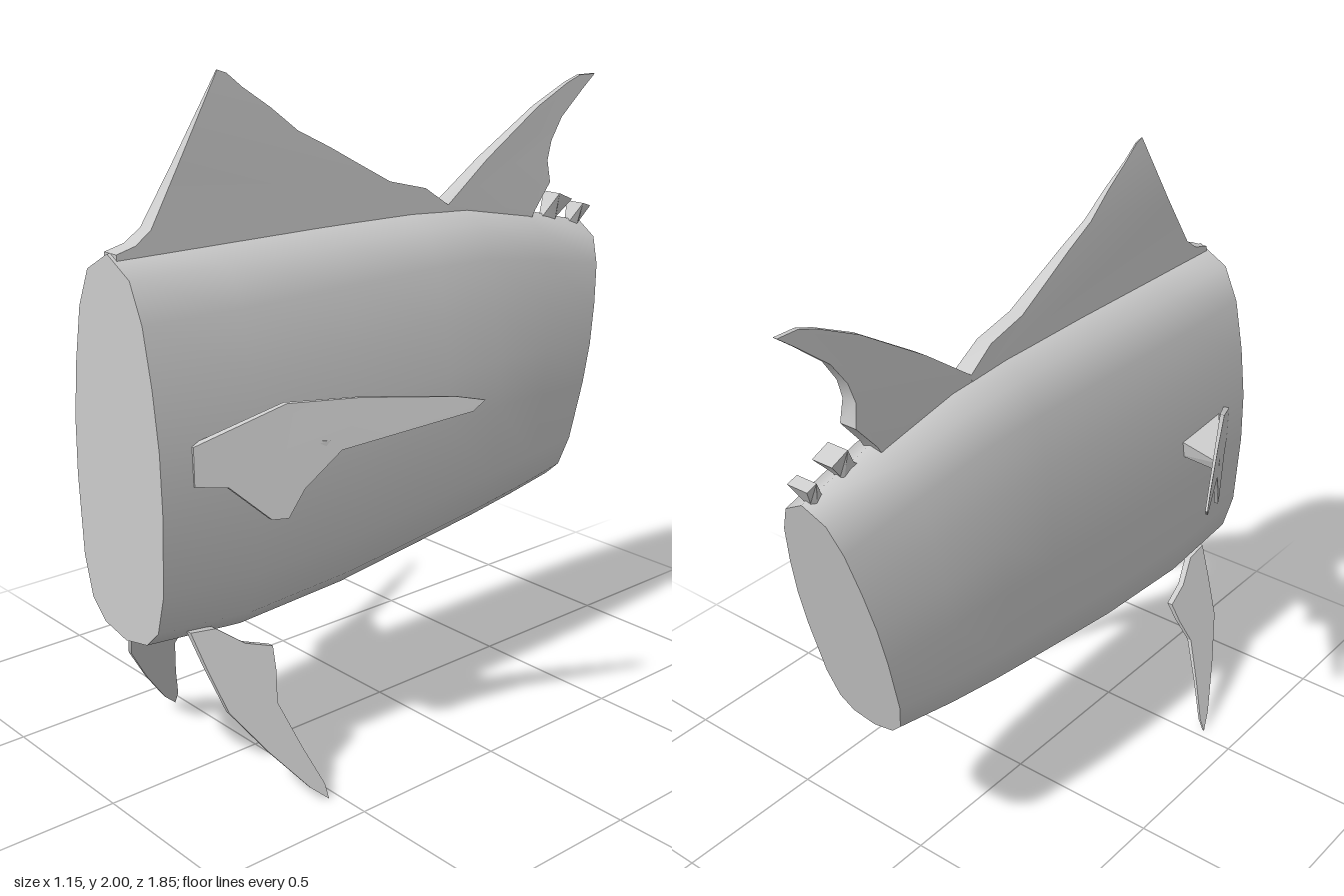
import * as THREE from 'three';
import { toCreasedNormals } from 'three/addons/utils/BufferGeometryUtils.js';
import { ConvexGeometry } from 'three/addons/geometries/ConvexGeometry.js';

const material = new THREE.MeshStandardMaterial({ color: 0xcccccc, side: THREE.DoubleSide });

function addMesh(parent, name, geometry) {
  const mesh = new THREE.Mesh(geometry, material);
  mesh.name = name;
  parent.add(mesh);
  return mesh;
}

// Half cross-section of the body: [height fraction, width fraction], belly to back
const PROFILE = [[0, 0], [0.02, 0.5], [0.07, 0.78], [0.18, 0.94], [0.4, 1],
  [0.55, 0.98], [0.7, 0.88], [0.85, 0.72], [0.95, 0.48], [1, 0]];

// Body stations, front to back: [z at belly, z at back, y belly, y back, half width]
const STATIONS = [
  [0.93, 0.93, 0.48, 1.56, 0.207], [0.62, 0.62, 0.45, 1.56, 0.21],
  [0.25, 0.25, 0.47, 1.56, 0.207], [-0.1, -0.1, 0.515, 1.555, 0.204],
  [-0.3, -0.33, 0.54, 1.54, 0.198], [-0.48, -0.6, 0.565, 1.49, 0.183],
  [-0.67, -0.88, 0.59, 1.42, 0.15]];

// Closed ring of points, counter-clockwise seen from the front
function ring([zb, zt, yb, yt, w]) {
  const point = ([t, k], side) => new THREE.Vector3(side * k * w,
    THREE.MathUtils.lerp(yb, yt, t), THREE.MathUtils.lerp(zb, zt, t));
  return [...PROFILE.map(p => point(p, 1)),
    ...PROFILE.slice(1, -1).reverse().map(p => point(p, -1))];
}

function bodyGeometry() {
  const points = STATIONS.flatMap(ring);
  const n = PROFILE.length * 2 - 2;
  const index = [];
  for (let s = 0; s < STATIONS.length - 1; s++) {
    for (let i = 0; i < n; i++) {
      const a = s * n + i, b = s * n + (i + 1) % n;
      index.push(a, a + n, b, b, a + n, b + n);
    }
  }
  const geometry = new THREE.BufferGeometry().setFromPoints(points);
  geometry.setIndex(index);
  geometry.computeVertexNormals();
  return geometry;
}

function capGeometry(station, facing) {
  const points = ring(station);
  const n = points.length;
  points.push(new THREE.Vector3(0, (station[2] + station[3]) / 2, (station[0] + station[1]) / 2));
  const index = [];
  for (let i = 0; i < n; i++) {
    const j = (i + 1) % n;
    index.push(n, facing > 0 ? i : j, facing > 0 ? j : i);
  }
  const geometry = new THREE.BufferGeometry().setFromPoints(points);
  geometry.setIndex(index);
  geometry.computeVertexNormals();
  return geometry;
}

// Thin fin from a [z, y] outline; offset(z, y) places it in x, thickness(z, y) tapers it
function finGeometry(outline, thickness, offset = () => 0) {
  const shape = new THREE.Shape(outline.map(([z, y]) => new THREE.Vector2(-z, y)));
  const geometry = new THREE.ExtrudeGeometry(shape, { depth: 1, bevelEnabled: false });
  const p = geometry.attributes.position;
  for (let i = 0; i < p.count; i++) {
    const z = -p.getX(i), y = p.getY(i), side = p.getZ(i) - 0.5;
    p.setXYZ(i, offset(z, y) + side * thickness(z, y), y, z);
  }
  geometry.computeVertexNormals();
  return toCreasedNormals(geometry, 0.6);
}

export function createModel() {
  const model = new THREE.Group();
  model.name = 'fish';

  // Trunk with flat ends
  addMesh(model, 'body', bodyGeometry());
  addMesh(model, 'frontEnd', capGeometry(STATIONS[0], 1));
  addMesh(model, 'rearEnd', capGeometry(STATIONS[STATIONS.length - 1], -1));

  // Fins along the back
  const taper = (z, y) => THREE.MathUtils.clamp((2 - y) * 0.13, 0.004, 0.065);
  addMesh(model, 'dorsalFin', finGeometry([
    [0.92, 1.5], [0.92, 1.56], [0.86, 1.575], [0.81, 1.61], [0.71, 1.77], [0.57, 2], [0.54, 1.99],
    [0.49, 1.95], [0.4, 1.89], [0.31, 1.82], [0.2, 1.765], [0.1, 1.71], [-0.02, 1.645],
    [-0.16, 1.61], [-0.25, 1.55], [-0.25, 1.5]], taper));
  addMesh(model, 'rearDorsalFin', finGeometry([
    [-0.22, 1.48], [-0.25, 1.55], [-0.42, 1.67], [-0.65, 1.81], [-0.79, 1.875], [-0.85, 1.895],
    [-0.92, 1.895], [-0.86, 1.85], [-0.76, 1.77], [-0.71, 1.7], [-0.69, 1.64], [-0.7, 1.57],
    [-0.63, 1.49], [-0.6, 1.44]], taper));

  // Small finlets, flaring toward their tips
  const finlets = [
    [[-0.66, 1.44], [-0.7, 1.47], [-0.74, 1.53], [-0.8, 1.505], [-0.75, 1.45], [-0.74, 1.42]],
    [[-0.77, 1.41], [-0.82, 1.43], [-0.855, 1.485], [-0.89, 1.473], [-0.86, 1.42], [-0.84, 1.38]]];
  for (const outline of finlets) {
    addMesh(model, 'finlet', finGeometry(outline,
      (z, y) => (y > 1.472 ? 0.07 : 0.025)));
  }

  // Paired side fins, swept outward and back
  const pectoral = finGeometry([
    [0.83, 1.07], [0.72, 1.12], [0.61, 1.17], [0.43, 1.172], [0.2, 1.155], [0.13, 1.14],
    [0.16, 1.11], [0.48, 1.03], [0.57, 0.93], [0.61, 0.85], [0.65, 0.85], [0.75, 0.95], [0.83, 0.96]],
    z => 0.008 + 0.025 * Math.max(0, z - 0.3), z => 0.2 + (0.83 - z) * 0.53);
  const pectoralRoot = new ConvexGeometry([
    [0.17, 1.07, 0.83], [0.17, 0.97, 0.82], [0.17, 1.05, 0.58], [0.17, 0.99, 0.59],
    [0.28, 1.03, 0.6], [0.38, 1.06, 0.51], [0.36, 1.02, 0.53]].map(v => new THREE.Vector3(...v)));

  // Paired belly fins, splayed downward
  const pelvic = finGeometry([
    [0.82, 0.52], [0.74, 0.51], [0.66, 0.45], [0.575, 0.42], [0.585, 0.36], [0.61, 0.28],
    [0.57, 0.15], [0.53, 0.04], [0.53, 0], [0.58, 0.045], [0.68, 0.17], [0.77, 0.3], [0.8, 0.42]],
    (z, y) => 0.006 + 0.03 * y, (z, y) => 0.38 - 0.46 * y);

  for (const side of [1, -1]) {
    const fins = new THREE.Group();
    fins.name = side > 0 ? 'leftFins' : 'rightFins';
    fins.scale.x = side;
    addMesh(fins, 'pectoralFin', pectoral);
    addMesh(fins, 'pectoralFinRoot', pectoralRoot);
    addMesh(fins, 'pelvicFin', pelvic);
    model.add(fins);
  }
  return model;
}
